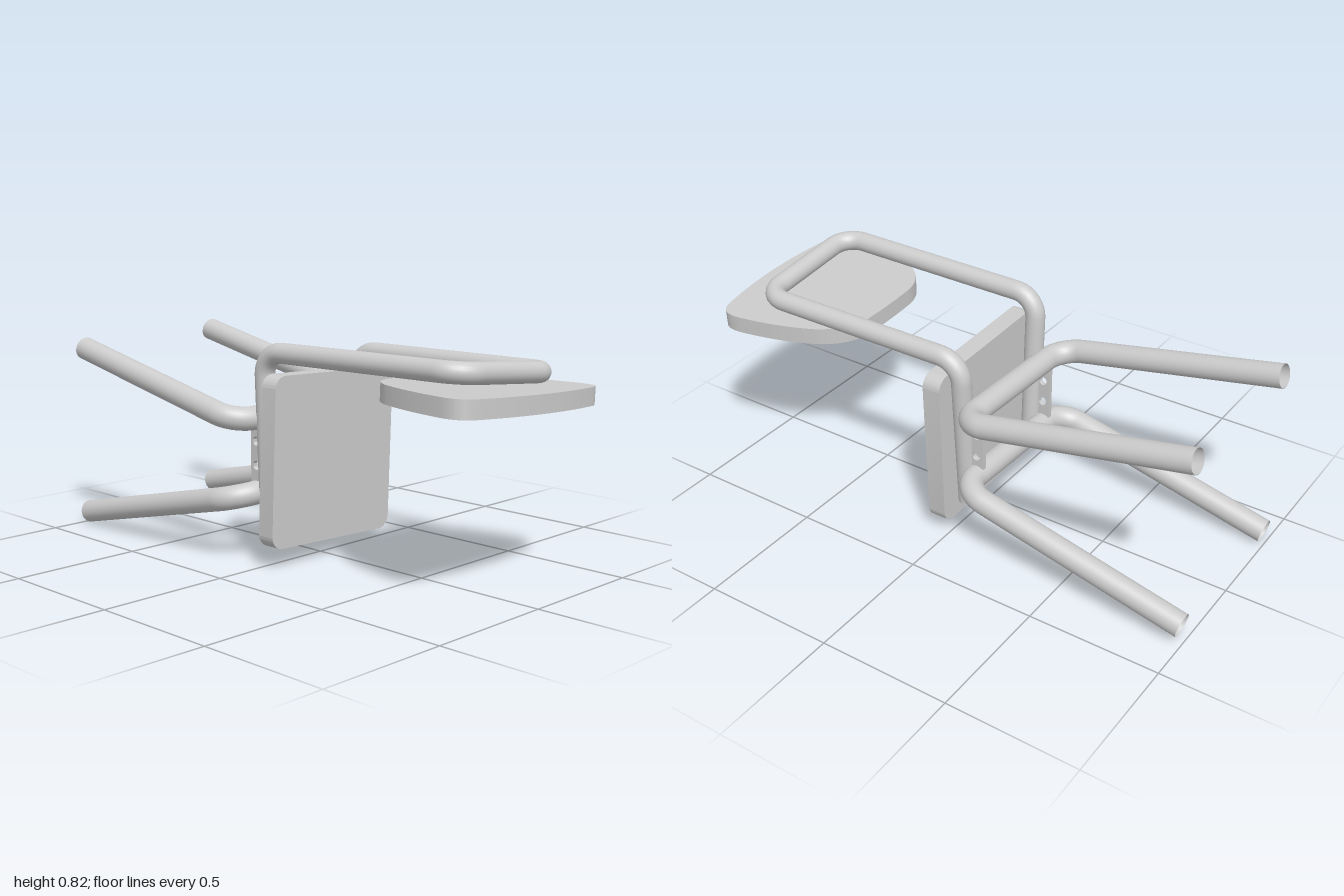
import * as THREE from 'three';
import { toCreasedNormals } from 'three/addons/utils/BufferGeometryUtils.js';

const solid = new THREE.MeshStandardMaterial({ color: 0xcccccc });
const thin = new THREE.MeshStandardMaterial({ color: 0xcccccc, side: THREE.DoubleSide });

function part(name, geometry, material = solid) {
  const mesh = new THREE.Mesh(geometry, material);
  mesh.name = name;
  return mesh;
}

// Open-ended pipe through corner points, every inner corner rounded
function bentPipe(name, corners, bend, radius) {
  const pts = corners.map(p => new THREE.Vector3(...p));
  const path = new THREE.CurvePath();
  let from = pts[0];
  for (let i = 1; i < pts.length - 1; i++) {
    const c = pts[i];
    const toward = (other, d) => c.clone().add(other.clone().sub(c).setLength(d));
    const a = toward(pts[i - 1], bend), b = toward(pts[i + 1], bend);
    path.add(new THREE.LineCurve3(from, a));
    path.add(new THREE.CubicBezierCurve3(a, toward(pts[i - 1], bend * 0.45), toward(pts[i + 1], bend * 0.45), b));
    from = b;
  }
  path.add(new THREE.LineCurve3(from, pts[pts.length - 1]));
  return part(name, new THREE.TubeGeometry(path, 180, radius, 28, false), thin);
}

// Square panel with rounded corners, centred on the origin
function roundedPanel(w, h, r, depth) {
  const s = new THREE.Shape();
  const x = w / 2, y = h / 2;
  s.absarc(x - r, y - r, r, 0, Math.PI / 2);
  s.absarc(-x + r, y - r, r, Math.PI / 2, Math.PI);
  s.absarc(-x + r, -y + r, r, Math.PI, Math.PI * 1.5);
  s.absarc(x - r, -y + r, r, Math.PI * 1.5, Math.PI * 2);
  s.closePath();
  return toCreasedNormals(new THREE.ExtrudeGeometry(s, { depth, bevelEnabled: false, curveSegments: 10 }), 0.6);
}

// Backrest outline: straight inner edge, flared sides, bowed outer edge
function backrestGeometry() {
  const s = new THREE.Shape();
  s.moveTo(-0.13, 0.452);
  s.quadraticCurveTo(0, 0.444, 0.13, 0.452);
  s.bezierCurveTo(0.21, 0.465, 0.25, 0.51, 0.285, 0.57);
  s.quadraticCurveTo(0.345, 0.7, 0.37, 0.87);
  s.bezierCurveTo(0.377, 0.93, 0.36, 0.958, 0.31, 0.97);
  s.quadraticCurveTo(0, 1.03, -0.31, 0.97);
  s.bezierCurveTo(-0.36, 0.958, -0.377, 0.93, -0.37, 0.87);
  s.quadraticCurveTo(-0.345, 0.7, -0.285, 0.57);
  s.bezierCurveTo(-0.25, 0.51, -0.21, 0.465, -0.13, 0.452);
  const g = new THREE.ExtrudeGeometry(s, { depth: 0.064, bevelEnabled: false, curveSegments: 14 });
  g.rotateX(Math.PI / 2);
  return toCreasedNormals(g, 0.5);
}

// Upright bracket with two bolt holes, lying in the y-z plane
function bracketGeometry() {
  const s = new THREE.Shape();
  s.moveTo(0.05, 0.27);
  s.lineTo(0.12, 0.27);
  s.lineTo(0.12, 0.54);
  s.lineTo(0.05, 0.54);
  s.closePath();
  for (const y of [0.355, 0.445]) {
    const hole = new THREE.Path();
    hole.absarc(0.092, y, 0.017, 0, Math.PI * 2, true);
    s.holes.push(hole);
  }
  const g = new THREE.ExtrudeGeometry(s, { depth: 0.02, bevelEnabled: false, curveSegments: 12 });
  g.translate(0, 0, -0.01);
  g.rotateY(Math.PI / 2);
  return toCreasedNormals(g, 0.6);
}

export function createModel() {
  const chair = new THREE.Group();
  chair.name = 'chair';

  // Seat panel, standing upright and slightly turned
  const seat = part('seat', roundedPanel(0.612, 0.625, 0.05, 0.07));
  seat.position.set(0.003, 0.38, 0);
  seat.rotation.z = -0.036;
  chair.add(seat);

  // Backrest panel under the end of the back frame
  const backrest = part('backrest', backrestGeometry());
  backrest.position.set(0.008, 0.713, 0);
  backrest.rotation.z = -0.048;
  chair.add(backrest);

  // Two U-shaped leg pipes, splayed apart
  const legPair = (name, barY, endY) => bentPipe(name, [
    [-0.335, endY, -0.988], [-0.338, barY, -0.092],
    [0.325, barY + 0.024, -0.092], [0.323, endY + 0.026, -0.988]
  ], 0.1, 0.044);
  chair.add(legPair('upperLegs', 0.528, 0.714));
  chair.add(legPair('lowerLegs', 0.251, 0.046));

  // Back frame: up behind the seat, then out over the backrest
  chair.add(bentPipe('backFrame', [
    [-0.22, 0.14, -0.038], [-0.245, 0.778, -0.038], [-0.236, 0.787, 0.848],
    [0.252, 0.742, 0.84], [0.242, 0.738, -0.038], [0.2, 0.13, -0.038]
  ], 0.085, 0.037));

  // Brackets joining the leg bars to the back frame
  for (const [name, x] of [['rightBracket', -0.228], ['leftBracket', 0.216]]) {
    const bracket = part(name, bracketGeometry());
    bracket.position.x = x;
    chair.add(bracket);
  }
  return chair;
}
